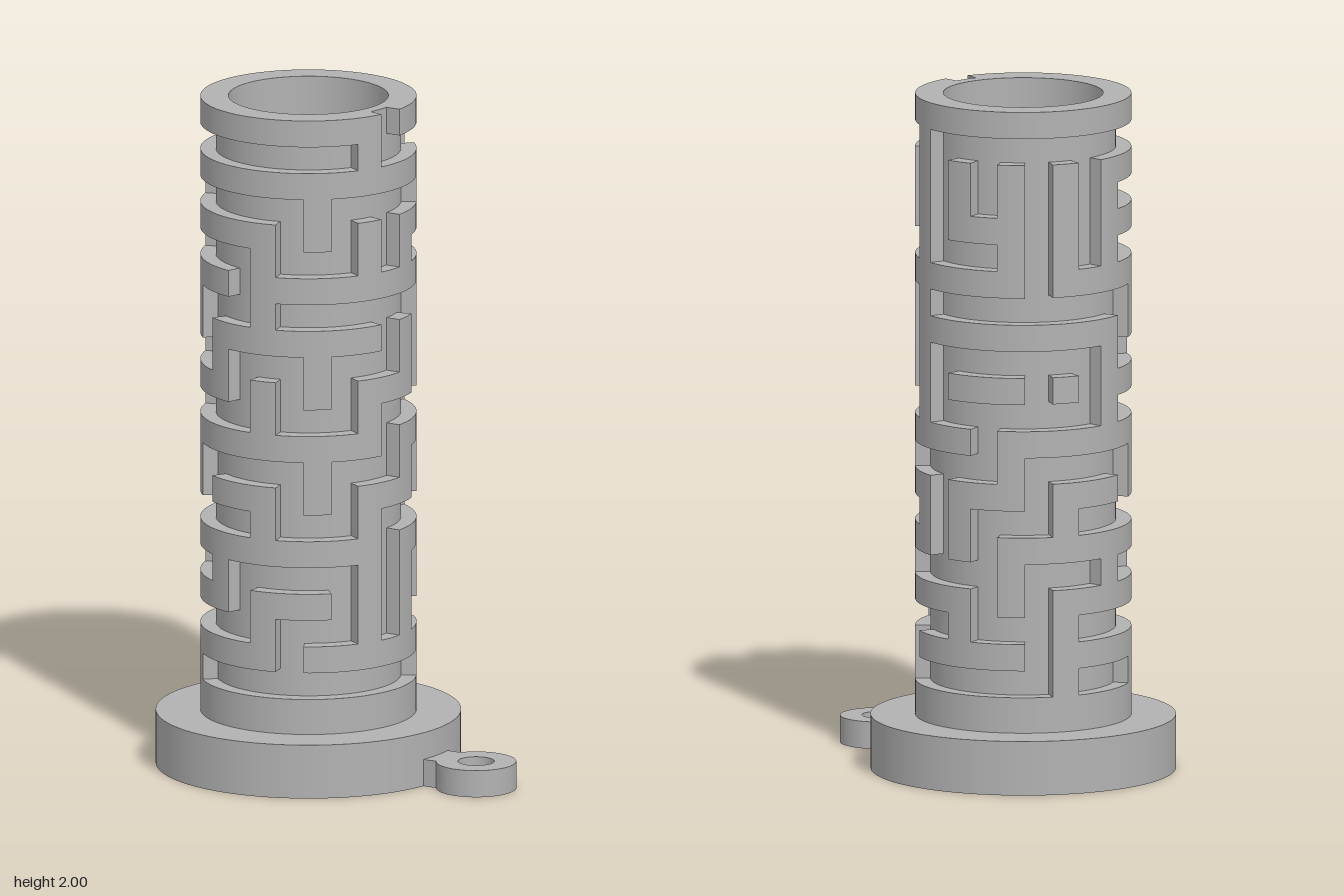
import * as THREE from 'three';

const CX = -0.127;                 // axis of the tube
const R_OUT = 0.315, R_GROOVE = 0.27, R_BORE = 0.233;
const BASE_H = 0.16, COLLAR_TOP = 0.265, TOP = 2;
const COLS = 24, ROWS = 22, STEP = (Math.PI * 2) / COLS, ROW_H = (TOP - COLLAR_TOP) / ROWS;

// Raised cells of each maze row, bottom to top. Odd rows always keep their odd columns
// and list the even columns that join them; even rows list their standing walls.
const MAZE = [
  [9, 13, 21],
  [0, 2, 6, 8, 10, 12, 16, 18, 22],
  [1, 5, 13, 17, 23],
  [4, 8, 10, 12, 18, 20],
  [1, 7, 11, 15, 21, 23],
  [2, 4, 6, 8, 10, 12, 14, 20, 22],
  [1, 5, 13, 17, 19],
  [0, 6, 12, 16, 20],
  [3, 9, 15, 21, 23],
  [2, 4, 6, 8, 10, 12, 14, 18, 20, 22],
  [1, 5, 11, 19],
  [0, 8, 10, 16],
  [3, 7, 11, 19, 21, 23],
  [2, 4, 6, 12, 14, 16, 18],
  [5, 9, 19, 21],
  [0, 2, 4, 8, 10, 12, 16, 18, 20, 22],
  [1, 5, 11, 13, 15, 19, 23],
  [6, 8, 10, 16, 22],
  [3, 11, 13, 15, 17, 19, 21],
  [0, 2, 4, 6, 8, 10, 22],
  [1, 19],
  [2, 4, 6, 8, 10, 12, 14, 16, 18, 20, 22],
];

function isWall(row, col) {
  if (row < 0) return true;
  if (row >= ROWS) return false;
  const c = (col + COLS) % COLS;
  return (row % 2 === 1 && c % 2 === 1) || MAZE[row].includes(c);
}

// Raised walls: curved outer faces, with side faces only where a neighbour is open
function mazeGeometry() {
  const pos = [], nor = [], idx = [];
  const point = (r, a, y) => [r * Math.cos(a), y, r * Math.sin(a)];
  const radial = (a) => [Math.cos(a), 0, Math.sin(a)];
  const quad = (corners, normals) => {
    const s = pos.length / 3;
    corners.forEach((p, i) => { pos.push(...p); nor.push(...normals[i]); });
    // choose the winding that agrees with the normal
    const [a, b, c] = corners.map((p) => new THREE.Vector3(...p));
    const n = b.sub(a).cross(c.sub(a));
    if (n.dot(new THREE.Vector3(...normals[0])) > 0) idx.push(s, s + 1, s + 2, s, s + 2, s + 3);
    else idx.push(s, s + 2, s + 1, s, s + 3, s + 2);
  };
  const flat = (corners, n) => quad(corners, [n, n, n, n]);
  const PARTS = 4;
  for (let row = 0; row < ROWS; row++) {
    const y0 = COLLAR_TOP + row * ROW_H, y1 = y0 + ROW_H;
    for (let col = 0; col < COLS; col++) {
      const wall = isWall(row, col);
      const a0 = col * STEP, a1 = a0 + STEP;
      for (let i = 0; i < PARTS; i++) {
        const p = a0 + (STEP * i) / PARTS, q = p + STEP / PARTS;
        const shelf = (y, n) => flat([point(R_GROOVE, p, y), point(R_OUT, p, y),
          point(R_OUT, q, y), point(R_GROOVE, q, y)], n);
        if (wall) {
          quad([point(R_OUT, p, y0), point(R_OUT, q, y0), point(R_OUT, q, y1), point(R_OUT, p, y1)],
            [radial(p), radial(q), radial(q), radial(p)]);
          if (!isWall(row + 1, col)) shelf(y1, [0, 1, 0]);
          if (!isWall(row - 1, col)) shelf(y0, [0, -1, 0]);
        } else if (row === 0) shelf(y0, [0, 1, 0]);
      }
      if (!wall) continue;
      const side = (a, n) => flat([point(R_GROOVE, a, y0), point(R_OUT, a, y0),
        point(R_OUT, a, y1), point(R_GROOVE, a, y1)], n);
      if (!isWall(row, col - 1)) side(a0, [Math.sin(a0), 0, -Math.cos(a0)]);
      if (!isWall(row, col + 1)) side(a1, [-Math.sin(a1), 0, Math.cos(a1)]);
    }
  }
  const g = new THREE.BufferGeometry();
  g.setAttribute('position', new THREE.Float32BufferAttribute(pos, 3));
  g.setAttribute('normal', new THREE.Float32BufferAttribute(nor, 3));
  g.setIndex(idx);
  return g;
}

// Turned shape whose straight runs keep sharp edges: one lathe per run
function turned(name, points, material) {
  const group = new THREE.Group();
  group.name = name;
  for (let i = 0; i + 1 < points.length; i++) {
    const run = [points[i], points[i + 1]].map(([r, y]) => new THREE.Vector2(r, y));
    const mesh = new THREE.Mesh(new THREE.LatheGeometry(run, 96), material);
    mesh.name = name + 'Face';
    group.add(mesh);
  }
  return group;
}

export function createModel() {
  const model = new THREE.Group();
  model.name = 'mazeCylinder';
  const grey = new THREE.MeshStandardMaterial({ color: 0xb2b2b2 });
  grey.name = 'grey plastic';

  const body = new THREE.Group();
  body.name = 'body';
  body.position.x = CX;
  model.add(body);

  // Round foot
  const base = new THREE.Mesh(new THREE.CylinderGeometry(0.445, 0.445, BASE_H, 96), grey);
  base.name = 'base';
  base.position.y = BASE_H / 2;
  body.add(base);

  // Plain collar under the maze
  body.add(turned('collar', [[R_OUT, BASE_H], [R_OUT, COLLAR_TOP]], grey));

  // Hollow core: groove floor, rim, bore and bore floor
  body.add(turned('core', [[R_GROOVE, COLLAR_TOP], [R_GROOVE, TOP], [R_BORE, TOP],
    [R_BORE, BASE_H + 0.005], [0, BASE_H + 0.005]], grey));

  const maze = new THREE.Mesh(mazeGeometry(), grey);
  maze.name = 'mazeWalls';
  body.add(maze);

  // Key ring tab: neck and eyelet in one outline with a hole
  const ex = 0.453, er = 0.117, neck = 0.065;
  const a = Math.PI - Math.asin(neck / er);
  const outline = new THREE.Shape();
  outline.moveTo(0.27, -neck);
  outline.lineTo(ex + er * Math.cos(a), -neck);
  outline.absarc(ex, 0, er, -a, a, false);
  outline.lineTo(0.27, neck);
  outline.closePath();
  outline.holes.push(new THREE.Path().absarc(ex, 0, 0.053, 0, Math.PI * 2, true));
  const tab = new THREE.Mesh(
    new THREE.ExtrudeGeometry(outline, { depth: 0.08, bevelEnabled: false, curveSegments: 40 }), grey);
  tab.name = 'keyRingTab';
  tab.rotation.x = -Math.PI / 2;
  model.add(tab);

  return model;
}
